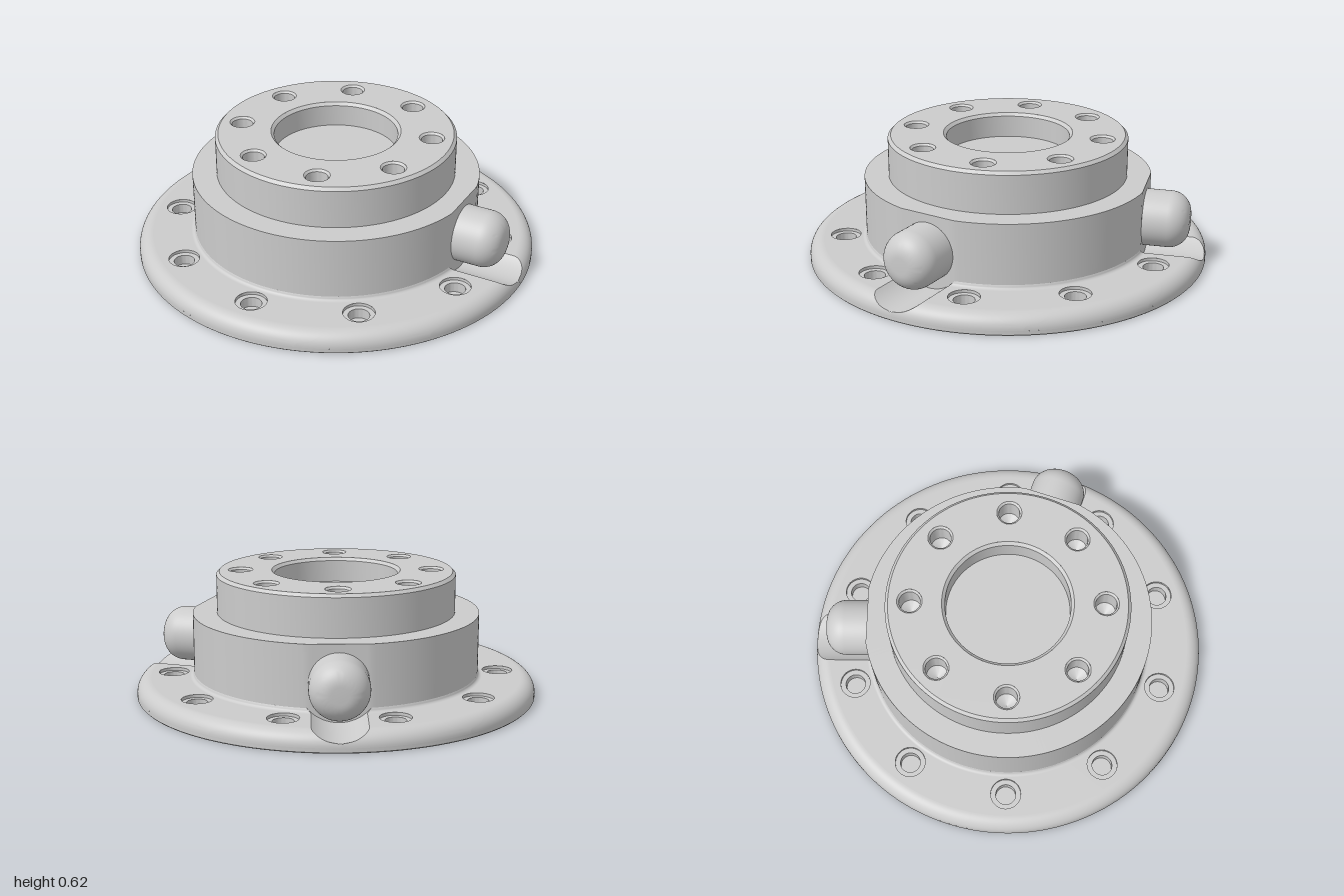
import * as THREE from 'three';
import { toCreasedNormals, mergeGeometries } from 'three/addons/utils/BufferGeometryUtils.js';

const material = new THREE.MeshStandardMaterial({ color: 0xcccccc });
const SECTOR = Math.PI / 5;
const PORT_SPOKES = [0, 7]; // spokes lie midway between mounting holes
const spokeAngle = i => (i + 0.5) * SECTOR;
const PORT_Y = 0.235, POCKET_R = 0.19;
const FLANGE_Y = 0.095, WALL = 0.715, INNER = 0.735, OUTER = 0.93;
const HOLE_RING = 0.82, HOLE_R = 0.075;

function part(name, geometry) {
  const mesh = new THREE.Mesh(geometry, material);
  mesh.name = name;
  return mesh;
}

function lathe(points, segments, crease = 0.5) {
  const geometry = new THREE.LatheGeometry(points.map(p => new THREE.Vector2(p[0], p[1])), segments);
  return toCreasedNormals(geometry, crease);
}

// Flange height at a radius: fillet at the drum, flat, rounded rim
function flangeHeight(r) {
  if (r < INNER) {
    const f = INNER - WALL, d = Math.min(INNER - r, f);
    return FLANGE_Y + f - Math.sqrt(f * f - d * d);
  }
  if (r <= OUTER) return FLANGE_Y;
  return 0.025 + Math.sqrt(Math.max(0, 0.07 ** 2 - (r - OUTER) ** 2));
}

// Half width of a clearance pocket where it meets the flange surface
function pocketHalfWidth(r) {
  return Math.sqrt(Math.max(1e-5, POCKET_R ** 2 - (PORT_Y - flangeHeight(r)) ** 2));
}

// Upward-facing grid turned about y; plan(u, v) returns [x, y, z], u running outwards
function grid(plan, nu, nv, turn) {
  const positions = [], index = [];
  for (let i = 0; i <= nu; i++) {
    for (let j = 0; j <= nv; j++) {
      positions.push(...plan(i / nu, j / nv));
      if (i < nu && j < nv) {
        const a = i * (nv + 1) + j, b = a + nv + 1;
        index.push(a, a + 1, b, b, a + 1, b + 1);
      }
    }
  }
  const geometry = new THREE.BufferGeometry();
  geometry.setAttribute('position', new THREE.Float32BufferAttribute(positions, 3));
  geometry.setIndex(index);
  geometry.rotateY(-turn);
  geometry.computeVertexNormals();
  return geometry;
}

// Point of the sector around a mounting hole, side from -1 to 1 between its spokes
function sectorPoint(r, side) {
  const t = side * (SECTOR / 2 - Math.asin(pocketHalfWidth(r) / r));
  return [r * Math.cos(t), flangeHeight(r), r * Math.sin(t)];
}

// Point of the strip along a spoke, sunk where it is a pocket
function stripPoint(r, side, pocket) {
  const w = side * pocketHalfWidth(r);
  const y = flangeHeight(r);
  const floor = PORT_Y - Math.sqrt(POCKET_R ** 2 - w * w);
  return [Math.sqrt(r * r - w * w), pocket ? Math.min(y, floor) : y, w];
}

// Sector spread from the round hole out to its four edges
function holePlan(u, v) {
  const a = v * Math.PI * 2, c = Math.cos(a), s = Math.sin(a);
  const m = Math.max(Math.abs(c), Math.abs(s));
  const [x, y, z] = sectorPoint((INNER + OUTER) / 2 + (OUTER - INNER) / 2 * c / m, s / m);
  const hx = HOLE_RING + HOLE_R * c, hz = HOLE_R * s;
  return [hx + (x - hx) * u, y, hz + (z - hz) * u];
}

function createFlange() {
  const flange = new THREE.Group();
  flange.name = 'flange';
  const spread = t => Math.tan((t - 0.5) * Math.PI / 2); // -1 to 1
  const filletR = u => 0.69 + (INNER - 0.69) * u;
  const flatR = u => (INNER + OUTER) / 2 + (OUTER - INNER) / 2 * spread(u);
  const rimR = u => OUTER + (1 - OUTER) * Math.sin(u * Math.PI / 2);
  const pieces = [];
  for (let i = 0; i < 10; i++) {
    const turn = i * SECTOR, spoke = spokeAngle(i), pocket = PORT_SPOKES.includes(i);
    pieces.push(grid(holePlan, 12, 96, turn));
    for (const [radius, rows] of [[filletR, 18], [rimR, 16]]) {
      pieces.push(grid((u, v) => sectorPoint(radius(u), spread(v)), rows, 24, turn));
    }
    for (const [radius, rows] of [[filletR, 18], [flatR, 24], [rimR, 16]]) {
      pieces.push(grid((u, v) => stripPoint(radius(u), v * 2 - 1, pocket), rows, 24, spoke));
    }
    // Counterbored mounting hole, closed at the bottom
    const hole = part('mountingHole', lathe(
      [[HOLE_R, FLANGE_Y], [HOLE_R, 0.08], [0.05, 0.08], [0.05, 0.03], [0, 0.03]], 48));
    hole.position.set(HOLE_RING * Math.cos(turn), 0, HOLE_RING * Math.sin(turn));
    flange.add(hole);
  }
  flange.add(part('flangeTop', mergeGeometries(pieces)));
  flange.add(part('flangeBase', lathe([[0, 0], [0.995, 0], [1, 0.005], [1, 0.025]], 240)));
  return flange;
}

function createHub() {
  const hub = new THREE.Group();
  hub.name = 'hub';

  // Stepped drum, with a flat face milled behind each port
  const body = new THREE.LatheGeometry(
    [[WALL, 0.03], [WALL, 0.415], [0.595, 0.415], [0.595, 0.605], [0.58, 0.62]]
      .map(q => new THREE.Vector2(q[0], q[1])), 240);
  const p = body.attributes.position;
  for (let i = 0; i < p.count; i++) {
    for (const a of PORT_SPOKES.map(spokeAngle)) {
      const over = p.getX(i) * Math.cos(a) + p.getZ(i) * Math.sin(a) - 0.7;
      if (over > 0) {
        p.setX(i, p.getX(i) - over * Math.cos(a));
        p.setZ(i, p.getZ(i) - over * Math.sin(a));
      }
    }
  }
  hub.add(part('drum', toCreasedNormals(body, 0.4)));

  // Top face with its ring of drilled holes
  const face = new THREE.Shape().absarc(0, 0, 0.58, 0, Math.PI * 2);
  face.holes.push(new THREE.Path().absarc(0, 0, 0.32, 0, Math.PI * 2, true));
  for (let i = 0; i < 8; i++) {
    const a = i * Math.PI / 4, x = 0.475 * Math.cos(a), z = 0.475 * Math.sin(a);
    face.holes.push(new THREE.Path().absarc(x, z, 0.062, 0, Math.PI * 2, true));
    const hole = part('boltHole', lathe(
      [[0.062, 0.62], [0.052, 0.61], [0.052, 0.5], [0, 0.47]], 48));
    hole.position.set(x, 0, z);
    hub.add(hole);
  }
  const top = part('topFace', new THREE.ShapeGeometry(face, 120).rotateX(-Math.PI / 2));
  top.position.y = 0.62;
  hub.add(top);

  // Chamfered central recess with a flat floor
  hub.add(part('centreRecess', lathe([[0.32, 0.62], [0.305, 0.605], [0.305, 0.495], [0, 0.495]], 160)));
  return hub;
}

// Rounded plug pointing outwards from the drum
function createPort(angle) {
  const profile = [[0.14, 0.6]];
  for (let i = 0; i <= 12; i++) {
    const a = i / 12 * Math.PI / 2;
    profile.push([0.04 + 0.1 * Math.cos(a), 0.82 + 0.1 * Math.sin(a)]);
  }
  profile.push([0, 0.92]);
  const port = part('sidePort', lathe(profile, 64).rotateZ(-Math.PI / 2).rotateY(-angle));
  port.position.y = PORT_Y;
  return port;
}

export function createModel() {
  const model = new THREE.Group();
  model.name = 'flangedHub';
  model.add(createFlange(), createHub(), ...PORT_SPOKES.map(i => createPort(spokeAngle(i))));
  return model;
}
